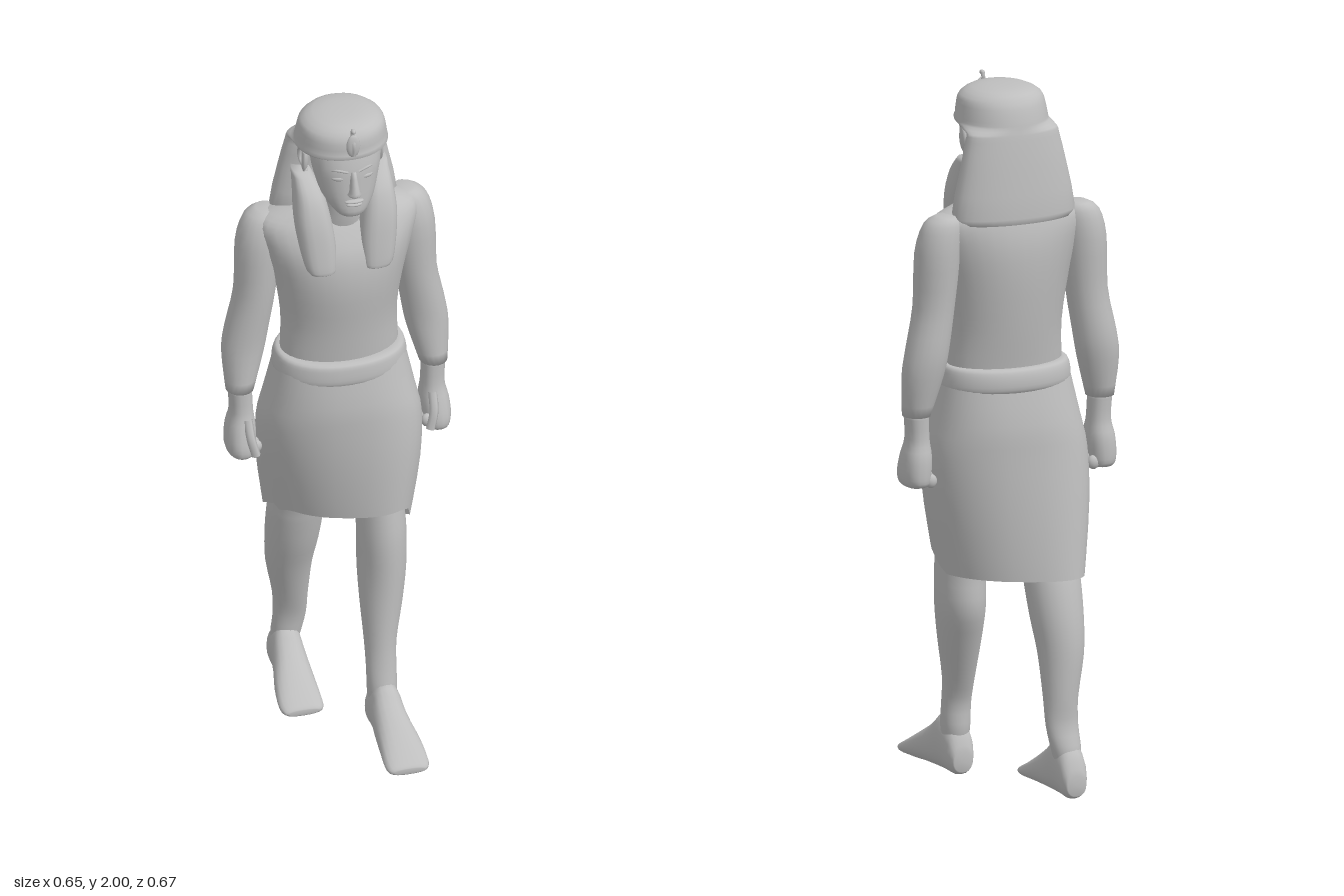
import * as THREE from 'three';

const stone = new THREE.MeshStandardMaterial({ color: 0xbebebe, side: THREE.DoubleSide });
stone.name = 'grey stone';

function catmull(a, b, c, d, t) {
  return b + 0.5 * t * (c - a + t * (2 * a - 5 * b + 4 * c - d + t * (3 * (b - c) + d - a)));
}

// Smooth body through rows [position, x0, x1, b0, b1] along the y or z axis
function loft(rows, { axis = 'y', n = 24, power = 2, sub = 3, caps = true, warp } = {}) {
  const rings = [];
  const at = i => rows[Math.min(rows.length - 1, Math.max(0, i))];
  for (let i = 0; i < rows.length - 1; i++) {
    for (let s = 0; s < sub; s++) {
      rings.push(at(i).map((_, k) => catmull(at(i - 1)[k], at(i)[k], at(i + 1)[k], at(i + 2)[k], s / sub)));
    }
  }
  rings.push(rows[rows.length - 1]);

  const pos = [], idx = [];
  const put = (x, t, b) => {
    const v = axis === 'y' ? new THREE.Vector3(x, t, b) : new THREE.Vector3(x, b, t);
    if (warp) warp(v);
    pos.push(v.x, v.y, v.z);
  };
  const round = c => Math.sign(c) * Math.abs(c) ** (2 / power);
  for (const [t, x0, x1, b0, b1] of rings) {
    for (let j = 0; j < n; j++) {
      const a = (j / n) * Math.PI * 2;
      put((x0 + x1) / 2 + (x1 - x0) / 2 * round(Math.cos(a)), t, (b0 + b1) / 2 + (b1 - b0) / 2 * round(Math.sin(a)));
    }
  }
  for (let i = 0; i < rings.length - 1; i++) {
    for (let j = 0; j < n; j++) {
      const a = i * n + j, b = i * n + (j + 1) % n;
      idx.push(a, a + n, b, b, a + n, b + n);
    }
  }
  if (caps) {
    for (const i of [0, rings.length - 1]) {
      const [t, x0, x1, b0, b1] = rings[i], c = pos.length / 3;
      put((x0 + x1) / 2, t, (b0 + b1) / 2);
      for (let j = 0; j < n; j++) {
        const a = i * n + j, b = i * n + (j + 1) % n;
        idx.push(c, ...(i === 0 ? [a, b] : [b, a]));
      }
    }
  }
  // Turn the faces outward whatever the axis or row order
  const v = k => new THREE.Vector3().fromArray(pos, idx[k] * 3);
  let volume = 0;
  for (let k = 0; k < idx.length; k += 3) volume += v(k).dot(v(k + 1).cross(v(k + 2)));
  if (volume < 0) idx.reverse();
  const g = new THREE.BufferGeometry();
  g.setAttribute('position', new THREE.Float32BufferAttribute(pos, 3));
  g.setIndex(idx);
  g.computeVertexNormals();
  return g;
}

// Rows symmetric about x = 0: [y, halfWidth, z0, z1]
const sym = rows => rows.map(([y, w, a, b]) => [y, -w, w, a, b]);

function add(parent, name, geometry) {
  const m = new THREE.Mesh(geometry, stone);
  m.name = name;
  parent.add(m);
  return m;
}

function blob(parent, name, p, s, r = [0, 0, 0]) {
  const m = add(parent, name, new THREE.SphereGeometry(1, 14, 10));
  m.position.set(...p);
  m.scale.set(...s);
  m.rotation.set(...r);
}

function tube(parent, name, points, radius) {
  const curve = new THREE.CatmullRomCurve3(points.map(p => new THREE.Vector3(...p)));
  add(parent, name, new THREE.TubeGeometry(curve, 12, radius, 6));
}

function makeArm() {
  const arm = new THREE.Group();
  add(arm, 'armLimb', loft([
    [1.655, 0.17, 0.225, -0.14, -0.08], [1.63, 0.15, 0.262, -0.16, -0.055], [1.55, 0.155, 0.285, -0.168, -0.038],
    [1.4, 0.172, 0.29, -0.16, -0.042], [1.28, 0.19, 0.314, -0.163, -0.048], [1.2, 0.205, 0.325, -0.155, -0.05],
    [1.085, 0.238, 0.317, -0.13, -0.044]], { n: 18 }));
  add(arm, 'fist', loft([
    [1.1, 0.245, 0.312, -0.126, -0.048], [1.02, 0.242, 0.307, -0.125, -0.045], [0.97, 0.236, 0.318, -0.137, -0.03],
    [0.92, 0.238, 0.322, -0.14, -0.016], [0.89, 0.244, 0.316, -0.135, -0.018], [0.88, 0.26, 0.3, -0.11, -0.04]],
    { n: 18, power: 2.3 }));
  // Fingers curled inward and thumb over the front
  for (let i = 0; i < 4; i++) blob(arm, 'finger', [0.246, 0.9 + i * 0.006, -0.115 + i * 0.027], [0.018, 0.02, 0.014]);
  tube(arm, 'thumb', [[0.265, 1.0, -0.045], [0.262, 0.95, -0.022], [0.25, 0.9, -0.014]], 0.013);
  return arm;
}

function makeFoot() {
  return loft([
    [0.03, 0.055, 0.11, 0.012, 0.07], [0.055, 0.042, 0.122, 0, 0.13], [0.115, 0.04, 0.127, 0, 0.172],
    [0.17, 0.036, 0.135, 0, 0.13], [0.24, 0.032, 0.15, 0, 0.085], [0.3, 0.03, 0.155, 0, 0.05],
    [0.33, 0.036, 0.148, 0.004, 0.034], [0.338, 0.05, 0.135, 0.01, 0.025]], { axis: 'z', n: 20, power: 2.3 });
}

function makeHead() {
  const head = new THREE.Group();
  add(head, 'neck', loft(sym([[1.6, 0.08, -0.12, 0.01], [1.68, 0.06, -0.1, 0.025], [1.8, 0.062, -0.1, 0.03]])));
  add(head, 'face', loft(sym([
    [1.708, 0.025, 0.035, 0.08], [1.725, 0.046, 0, 0.1], [1.765, 0.073, -0.05, 0.1], [1.82, 0.09, -0.08, 0.096],
    [1.87, 0.098, -0.08, 0.09], [1.94, 0.1, -0.08, 0.07]]), { power: 2.2 }));
  add(head, 'nose', loft(sym([
    [1.785, 0.012, 0.08, 0.108], [1.793, 0.02, 0.08, 0.12], [1.805, 0.015, 0.08, 0.124], [1.86, 0.008, 0.07, 0.1]]), { n: 12 }));
  blob(head, 'upperLip', [0, 1.77, 0.098], [0.028, 0.006, 0.012]);
  blob(head, 'lowerLip', [0, 1.759, 0.097], [0.023, 0.006, 0.012]);
  for (const s of [-1, 1]) {
    blob(head, 'eye', [s * 0.041, 1.84, 0.081], [0.02, 0.008, 0.008], [0, s * 0.35, 0]);
    tube(head, 'eyebrow', [[s * 0.015, 1.86, 0.09], [s * 0.045, 1.867, 0.082], [s * 0.08, 1.855, 0.05]], 0.004);
    blob(head, 'ear', [s * 0.104, 1.845, -0.035], [0.01, 0.045, 0.024], [0.15, s * 0.4, 0]);
    tube(head, 'earRim', [[s * 0.104, 1.81, -0.025], [s * 0.114, 1.84, -0.055], [s * 0.116, 1.88, -0.045],
      [s * 0.11, 1.88, -0.015]], 0.006);
  }
  return head;
}

function makeHeaddress() {
  const cloth = new THREE.Group();
  // Broad cloth behind the ears that steps forward over the brow
  add(cloth, 'headdressCloth', loft(sym([
    [1.628, 0.15, -0.195, -0.07], [1.645, 0.183, -0.203, -0.04], [1.78, 0.157, -0.188, -0.055],
    [1.86, 0.139, -0.176, -0.055], [1.88, 0.134, -0.172, -0.05], [1.895, 0.131, -0.169, 0.08],
    [1.91, 0.128, -0.166, 0.084], [1.945, 0.122, -0.156, 0.082], [1.968, 0.113, -0.142, 0.072],
    [1.986, 0.08, -0.12, 0.05], [1.992, 0.03, -0.06, 0]]), { n: 36, power: 2.1, sub: 2 }));
  // Flaps hanging over the chest
  const flap = loft([
    [1.518, 0.05, 0.1, 0.045, 0.074], [1.53, 0.04, 0.122, 0.02, 0.078], [1.6, 0.036, 0.138, -0.02, 0.07],
    [1.68, 0.045, 0.145, -0.05, 0.055], [1.75, 0.06, 0.14, -0.08, 0.025], [1.8, 0.085, 0.135, -0.1, -0.03]],
    { n: 18, power: 2.6 });
  for (const s of [-1, 1]) add(cloth, s > 0 ? 'leftFlap' : 'rightFlap', flap).scale.x = s;
  // Rearing serpent on the brow
  blob(cloth, 'serpentHood', [0, 1.945, 0.088], [0.02, 0.036, 0.009]);
  tube(cloth, 'serpentNeck', [[0, 1.915, 0.09], [0, 1.95, 0.095], [0, 1.98, 0.08], [0, 1.993, 0.083]], 0.006);
  blob(cloth, 'serpentHead', [0, 1.993, 0.088], [0.007, 0.007, 0.01]);
  return cloth;
}

export function createModel() {
  const model = new THREE.Group();
  model.name = 'striding statue';

  add(model, 'torso', loft(sym([
    [1.15, 0.165, -0.165, 0.045], [1.21, 0.167, -0.172, 0.05], [1.32, 0.164, -0.188, 0.06], [1.45, 0.184, -0.202, 0.074],
    [1.55, 0.212, -0.204, 0.064], [1.62, 0.23, -0.192, 0.028], [1.655, 0.195, -0.175, 0.005], [1.69, 0.08, -0.13, 0]]),
    { n: 32 }));

  for (const s of [-1, 1]) {
    const arm = makeArm();
    arm.name = s > 0 ? 'leftArm' : 'rightArm';
    arm.scale.x = s;
    model.add(arm);
  }

  // Kilt follows the stride: hem rises to the front, left side swings forward, right side back
  const stride = v => {
    const drop = (1.2 - v.y) / 0.6;
    const low = 0.61 + 0.095 * THREE.MathUtils.clamp((v.z + 0.13) / 0.16, 0, 1) + (v.z > 0 ? v.x * 0.12 : 0);
    v.z += v.x * 0.45 * drop ** 1.5;
    v.y = 1.2 - drop * (1.2 - low);
  };
  add(model, 'kilt', loft([
    [1.2, -0.18, 0.18, -0.182, 0.068], [1.05, -0.208, 0.208, -0.208, 0.086], [0.95, -0.224, 0.224, -0.212, 0.088],
    [0.8, -0.216, 0.214, -0.218, 0.085], [0.6, -0.184, 0.178, -0.226, 0.076]],
    { n: 40, power: 2.4, caps: false, warp: stride }));
  add(model, 'belt', loft(sym([
    [1.14, 0.182, -0.188, 0.072], [1.155, 0.189, -0.198, 0.079], [1.185, 0.187, -0.198, 0.078], [1.208, 0.18, -0.19, 0.072],
    [1.212, 0.165, -0.172, 0.05]]), { n: 40, power: 2.2 }));

  // Forward left leg and trailing right leg
  add(model, 'leftLeg', loft([
    [0.85, 0.04, 0.155, -0.09, 0.06], [0.68, 0.034, 0.168, -0.085, 0.086], [0.6, 0.034, 0.171, -0.078, 0.095],
    [0.5, 0.035, 0.17, -0.08, 0.097], [0.4, 0.036, 0.155, -0.042, 0.1], [0.28, 0.04, 0.13, 0.01, 0.108],
    [0.2, 0.04, 0.125, 0.042, 0.118], [0.12, 0.042, 0.123, 0.044, 0.13], [0.04, 0.06, 0.105, 0.07, 0.11]]));
  add(model, 'rightLeg', loft([
    [0.85, -0.16, -0.03, -0.18, -0.03], [0.66, -0.17, -0.014, -0.235, -0.08], [0.6, -0.174, -0.014, -0.255, -0.092],
    [0.5, -0.172, -0.022, -0.278, -0.118], [0.4, -0.164, -0.034, -0.288, -0.155], [0.28, -0.14, -0.04, -0.288, -0.195],
    [0.2, -0.136, -0.042, -0.286, -0.22], [0.12, -0.138, -0.056, -0.305, -0.23], [0.04, -0.122, -0.077, -0.292, -0.252]]));
  add(model, 'leftFoot', makeFoot());
  const rightFoot = add(model, 'rightFoot', makeFoot());
  rightFoot.scale.x = -1;
  rightFoot.position.set(-0.017, 0, -0.362);

  const head = makeHead(), cloth = makeHeaddress();
  head.name = 'head';
  cloth.name = 'headdress';
  model.add(head, cloth);
  return model;
}
